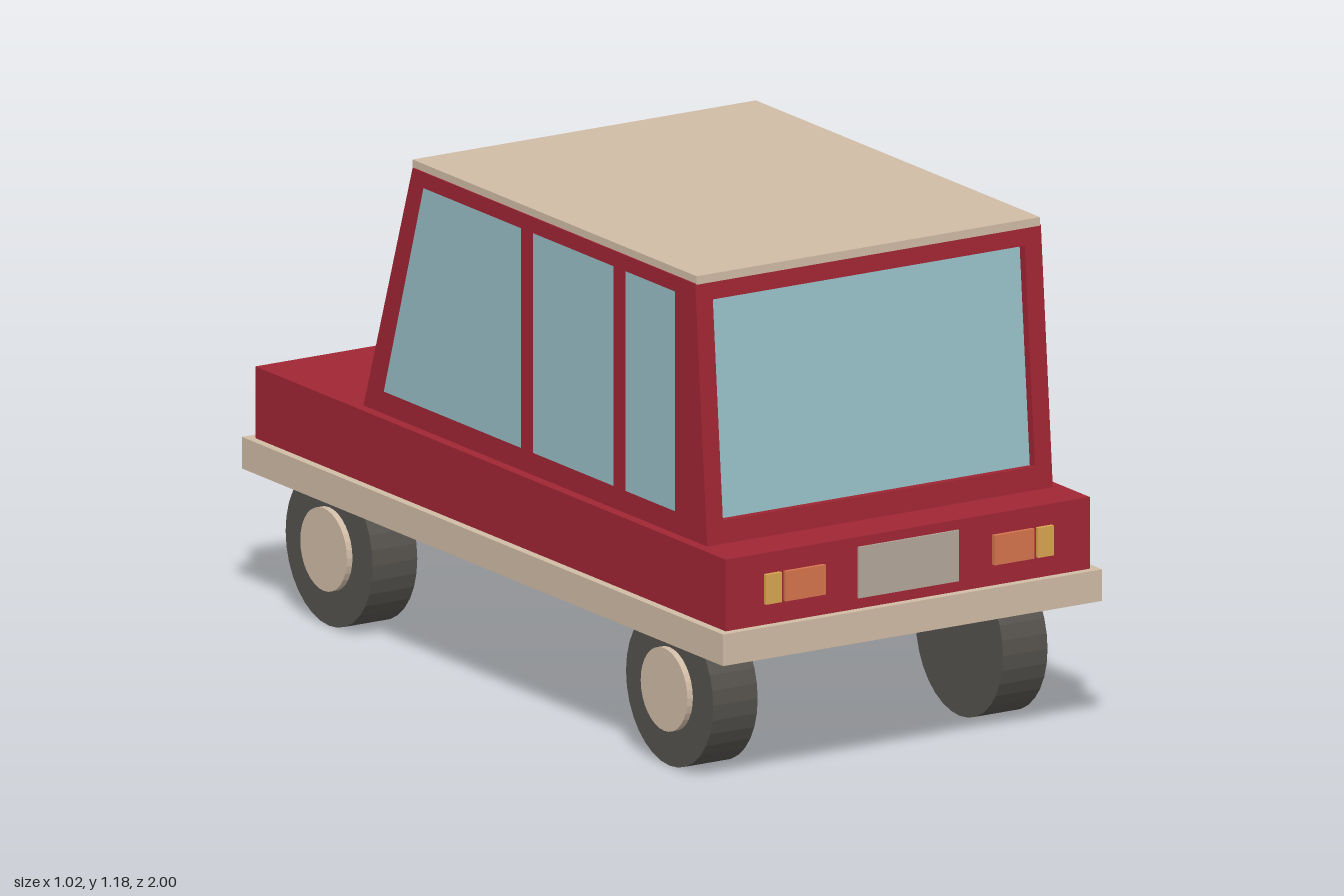
import * as THREE from 'three';

const mat = (color, flatShading = false) => new THREE.MeshStandardMaterial({ color, flatShading });
const red = mat(0xa02634), beige = mat(0xd0bca6), glass = mat(0x97bfc7);
const tyre = mat(0x55524d, true), hubMat = mat(0xd0bca6, true);
const orange = mat(0xd5734d), amber = mat(0xd8a550), grey = mat(0xb3a79a);

// Cabin side profile as [z, y]: tailgate bottom and top, windscreen top and bottom
const CABIN = [[0.865, 0.555], [0.815, 1.162], [-0.36, 1.162], [-0.565, 0.555]];
const HALF = 0.465;

function polygon(points, Type = THREE.Shape) {
  return new Type(points.map(([a, b]) => new THREE.Vector2(a, b)));
}

function add(parent, name, geometry, material, x = 0, y = 0, z = 0) {
  const mesh = new THREE.Mesh(geometry, material);
  mesh.name = name;
  mesh.position.set(x, y, z);
  parent.add(mesh);
  return mesh;
}

// Box given by its lower and upper corners
function block(parent, name, material, [x0, y0, z0], [x1, y1, z1]) {
  return add(parent, name, new THREE.BoxGeometry(x1 - x0, y1 - y0, z1 - z0), material,
    (x0 + x1) / 2, (y0 + y1) / 2, (z0 + z1) / 2);
}

// Extrude a [z, y] outline along x, from x = start to start + depth
function sidePanel(parent, name, outline, holes, start, depth, material) {
  const flip = ([z, y]) => [-z, y];
  const shape = polygon(outline.map(flip));
  shape.holes = holes.map(h => polygon(h.map(flip), THREE.Path));
  const geometry = new THREE.ExtrudeGeometry(shape, { depth, bevelEnabled: false });
  geometry.rotateY(Math.PI / 2);
  return add(parent, name, geometry, material, start);
}

// Sloping window frame between two profile points, its outer face towards dir * z
function endFrame(parent, name, [z0, y0], [z1, y1], dir, winLow, winHigh) {
  const height = Math.hypot(z1 - z0, y1 - y0);
  const along = y => (y - y0) / (y1 - y0) * height;
  const w = HALF - 0.001, a = along(winLow), b = along(winHigh), depth = 0.025;
  const shape = polygon([[-w, 0], [w, 0], [w, height], [-w, height]]);
  shape.holes = [polygon([[-0.42, a], [-0.42, b], [0.42, b], [0.42, a]], THREE.Path)];
  const geometry = new THREE.ExtrudeGeometry(shape, { depth, bevelEnabled: false });
  geometry.translate(0, 0, -depth);
  geometry.rotateX(-Math.atan2((z0 - z1) * dir, y1 - y0));
  if (dir < 0) geometry.rotateY(Math.PI);
  return add(parent, name, geometry, red, 0, y0, z0);
}

export function createModel() {
  const car = new THREE.Group();
  car.name = 'car';

  // Lower body and the trim band around it
  block(car, 'lowerBody', red, [-0.49, 0.39, -0.975], [0.49, 0.558, 0.98]);
  block(car, 'floor', red, [-0.495, 0.314, -0.985], [0.495, 0.38, 0.985]);
  const rect = (x, z) => [[-x, -z], [x, -z], [x, z], [-x, z]];
  const band = polygon(rect(0.51, 1));
  band.holes = [polygon(rect(0.485, 0.97), THREE.Path)];
  const bandGeo = new THREE.ExtrudeGeometry(band, { depth: 0.074, bevelEnabled: false });
  bandGeo.rotateX(-Math.PI / 2);
  add(car, 'trimBand', bandGeo, beige, 0, 0.316, 0);

  // Cabin frames with window openings
  const cabin = new THREE.Group();
  cabin.name = 'cabin';
  car.add(cabin);
  const lo = 0.61, hi = 1.125;
  const windows = [
    [[0.73, lo], [0.73, hi], [0.525, hi], [0.525, lo]],
    [[0.475, lo], [0.475, hi], [0.14, hi], [0.14, lo]],
    [[0.09, lo], [0.09, hi], [-0.315, hi], [-0.48, lo]],
  ];
  sidePanel(cabin, 'leftSideFrame', CABIN, windows, HALF - 0.025, 0.025, red);
  sidePanel(cabin, 'rightSideFrame', CABIN, windows, -HALF, 0.025, red);
  endFrame(cabin, 'tailgateFrame', CABIN[0], CABIN[1], 1, 0.612, 1.12);
  endFrame(cabin, 'windscreenFrame', CABIN[3], CABIN[2], -1, 0.605, 1.115);

  // Glass block set back behind the frames
  const inner = [[0.843, 0.556], [0.793, 1.155], [-0.339, 1.155], [-0.542, 0.556]];
  sidePanel(cabin, 'windowGlass', inner, [], -0.446, 0.892, glass);
  block(cabin, 'roof', beige, [-0.462, 1.16, -0.365], [0.462, 1.18, 0.816]);

  // Lamps and plates on both ends
  block(car, 'numberPlate', grey, [-0.135, 0.415, 0.97], [0.135, 0.535, 0.985]);
  block(car, 'grille', grey, [-0.22, 0.45, -0.983], [0.22, 0.5, -0.96]);
  for (const s of [1, -1]) {
    const side = s > 0 ? 'left' : 'right';
    const lamp = new THREE.BoxGeometry(0.108, 0.07, 0.03);
    add(car, side + 'OrangeLamp', lamp, orange, s * 0.281, 0.474, 0.975);
    const small = new THREE.BoxGeometry(0.043, 0.07, 0.03);
    add(car, side + 'AmberLamp', small, amber, s * 0.366, 0.474, 0.975);
    const round = new THREE.CylinderGeometry(0.048, 0.048, 0.03, 32);
    round.rotateX(Math.PI / 2);
    add(car, side + 'RoundLamp', round, amber, s * 0.365, 0.474, -0.974);

    // Wheels
    for (const z of [0.685, -0.73]) {
      const wheel = new THREE.Group();
      wheel.name = side + (z > 0 ? 'FrontWheel' : 'BackWheel');
      wheel.position.set(s * 0.39, 0.182, z);
      car.add(wheel);
      const tyreGeo = new THREE.CylinderGeometry(0.181, 0.181, 0.12, 32);
      tyreGeo.rotateZ(Math.PI / 2);
      add(wheel, 'tyre', tyreGeo, tyre);
      const hubGeo = new THREE.CylinderGeometry(0.097, 0.097, 0.03, 32);
      hubGeo.rotateZ(Math.PI / 2);
      add(wheel, 'hub', hubGeo, hubMat, s * 0.06);
    }
  }
  return car;
}
